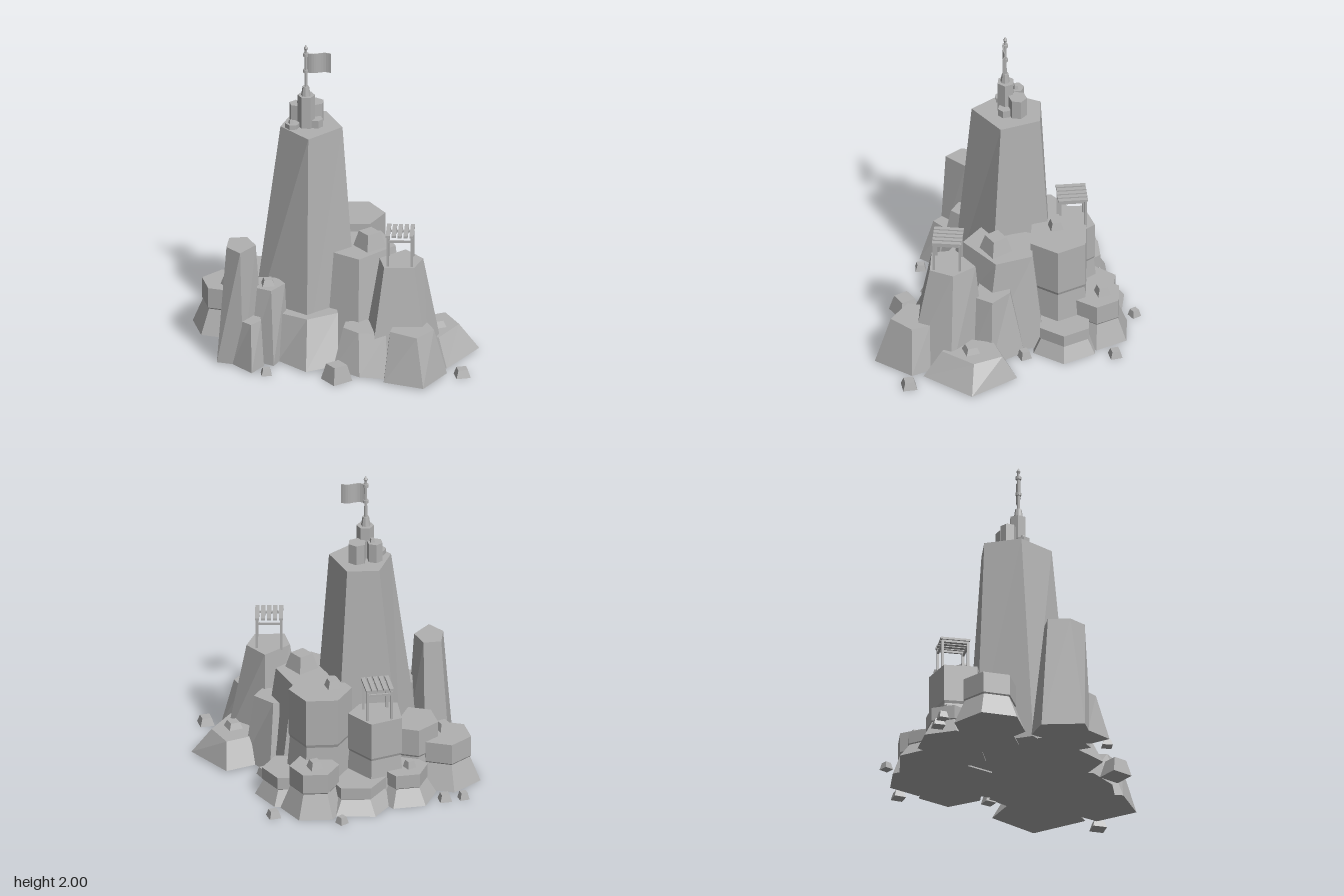
import * as THREE from 'three';

export function createModel() {
  const model = new THREE.Group();
  model.name = 'rockOutpost';
  const stone = new THREE.MeshStandardMaterial({ color: 0xb0b0b0, flatShading: true, side: THREE.DoubleSide });
  stone.name = 'grey stone';

  const add = (name, geometry, x = 0, y = 0, z = 0, parent = model) => {
    const mesh = new THREE.Mesh(geometry, stone);
    mesh.name = name;
    mesh.position.set(x, y, z);
    parent.add(mesh);
    return mesh;
  };

  // Closed faceted solid through layers of [height, [[x, z], ...]]
  function loft(layers) {
    const area = layers[0][1].reduce((s, p, i, a) => {
      const q = a[(i + 1) % a.length];
      return s + p[0] * q[1] - q[0] * p[1];
    }, 0);
    const rings = layers.map(([y, pts]) => {
      const r = pts.map(([x, z]) => [x, y, z]);
      return area < 0 ? r.reverse() : r;
    });
    const v = [];
    const tri = (a, b, c) => v.push(...a, ...b, ...c);
    const n = rings[0].length;
    for (let k = 0; k < rings.length - 1; k++) {
      const b = rings[k], t = rings[k + 1];
      for (let i = 0; i < n; i++) {
        const j = (i + 1) % n;
        tri(b[i], t[i], b[j]);
        tri(b[j], t[i], t[j]);
      }
    }
    const b = rings[0], t = rings[rings.length - 1];
    for (let i = 1; i < n - 1; i++) {
      tri(t[0], t[i + 1], t[i]);
      tri(b[0], b[i], b[i + 1]);
    }
    const g = new THREE.BufferGeometry();
    g.setAttribute('position', new THREE.Float32BufferAttribute(v, 3));
    g.computeVertexNormals();
    return g;
  }

  const ring = (n, cx, cz, r, deg) => Array.from({ length: n }, (_, i) => {
    const a = (deg + i * 360 / n) * Math.PI / 180;
    return [cx + r * Math.cos(a), cz + r * Math.sin(a)];
  });

  // Tapered crags: height, foot outline, top outline
  const crag = (name, h, foot, top) => add(name, loft([[0.01, foot], [h, top]]));
  crag('mainSpire', 1.45,
    [[-0.42, -0.21], [-0.01, -0.27], [0.14, 0.12], [-0.17, 0.39], [-0.54, 0.14]],
    [[-0.28, -0.16], [-0.08, -0.175], [0.035, 0.06], [-0.167, 0.26], [-0.35, 0.07]]);
  crag('shoulderCrag', 0.65,
    [[-0.02, -0.2], [0.33, -0.24], [0.45, 0.12], [0.15, 0.42], [-0.09, 0.27]],
    [[0.02, -0.13], [0.26, -0.16], [0.365, 0.06], [0.15, 0.285], [-0.04, 0.17]]);
  crag('lookoutCrag', 0.68,
    [[0.43, 0.12], [0.68, 0.31], [0.6, 0.58], [0.23, 0.59], [0.17, 0.32]],
    [[0.435, 0.18], [0.55, 0.31], [0.5, 0.46], [0.315, 0.465], [0.28, 0.32]]);
  crag('rightCrag', 0.17,
    [[0.67, -0.1], [0.89, 0.16], [0.705, 0.48], [0.44, 0.36], [0.47, 0]],
    [[0.67, -0.01], [0.765, 0.16], [0.65, 0.37], [0.5, 0.3], [0.53, 0.06]]);
  crag('frontRightCrag', 0.31,
    [[0.325, 0.71], [0.575, 0.795], [0.71, 0.55], [0.6, 0.38], [0.32, 0.42]],
    [[0.36, 0.61], [0.53, 0.7], [0.63, 0.56], [0.58, 0.45], [0.38, 0.46]]);
  crag('frontLowCrag', 0.26,
    [[0, 0.52], [0.17, 0.64], [0.345, 0.66], [0.45, 0.45], [0.2, 0.3], [0.02, 0.35]],
    [[0.06, 0.45], [0.16, 0.53], [0.33, 0.54], [0.38, 0.42], [0.2, 0.32], [0.07, 0.36]]);
  crag('frontCrag', 0.3,
    [[-0.345, 0.42], [-0.165, 0.58], [0.03, 0.47], [0.03, 0.25], [-0.17, 0.12], [-0.36, 0.2]],
    [[-0.34, 0.34], [-0.165, 0.43], [0.02, 0.32], [0, 0.2], [-0.17, 0.12], [-0.32, 0.18]]);
  crag('leftTallCrag', 0.755,
    [[-0.71, 0.19], [-0.56, 0.13], [-0.44, 0.3], [-0.56, 0.5], [-0.725, 0.46]],
    [[-0.66, 0.23], [-0.55, 0.21], [-0.49, 0.33], [-0.58, 0.46], [-0.67, 0.37]]);
  crag('leftLowCrag', 0.3,
    [[-0.63, 0.48], [-0.5, 0.615], [-0.43, 0.5], [-0.44, 0.36], [-0.6, 0.36]],
    [[-0.59, 0.46], [-0.51, 0.53], [-0.45, 0.46], [-0.46, 0.38], [-0.58, 0.38]]);
  crag('leftInnerCrag', 0.48,
    [[-0.51, 0.17], [-0.33, 0.18], [-0.29, 0.31], [-0.37, 0.5], [-0.52, 0.42]],
    [[-0.48, 0.2], [-0.36, 0.21], [-0.31, 0.29], [-0.39, 0.41], [-0.48, 0.37]]);
  crag('rightInnerCrag', 0.45,
    [[0.4, -0.12], [0.56, 0.07], [0.5, 0.21], [0.3, 0.2], [0.28, -0.06]],
    [[0.38, -0.03], [0.5, 0.07], [0.45, 0.18], [0.3, 0.17], [0.3, -0.02]]);

  // Straight-sided columns with a flared foot
  const column = (name, n, x, z, h, top, foot, deg) => add(name, loft([
    [0, ring(n, x, z, foot, deg)],
    [h * 0.53, ring(n, x, z, top * 0.96, deg)],
    [h * 0.56, ring(n, x, z, top, deg)],
    [h, ring(n, x, z, top, deg)]]));
  column('backTallColumn', 6, 0.085, -0.305, 0.7, 0.197, 0.22, -4);
  column('backLookoutColumn', 5, -0.265, -0.327, 0.55, 0.178, 0.2, -80);
  column('backRightLowColumn', 6, 0.27, -0.36, 0.18, 0.175, 0.22, -4);
  column('backRightColumn', 6, 0.12, -0.55, 0.29, 0.155, 0.21, -4);
  column('backLowColumn', 6, -0.14, -0.47, 0.17, 0.185, 0.245, 0);
  column('backLeftColumn', 6, -0.435, -0.38, 0.2, 0.15, 0.205, -72);
  column('leftColumn', 6, -0.685, -0.13, 0.3, 0.17, 0.23, 14);
  column('leftInnerColumn', 6, -0.48, -0.13, 0.4, 0.17, 0.19, 14);

  // Loose four-sided boulders: x, base y, z, width, height, turn in degrees
  [[0.205, 0.65, 0.075, 0.145, 0.1, 40], [0.63, 0.17, 0.19, 0.09, 0.04, 25],
    [-0.415, 0.48, 0.31, 0.075, 0.04, 10], [0.01, 0.7, -0.28, 0.08, 0.05, 20],
    [0.115, 0.29, -0.58, 0.08, 0.05, 25], [-0.47, 0.2, -0.39, 0.06, 0.045, 35],
    [-0.675, 0.3, -0.07, 0.08, 0.05, 30], [-0.055, 0, -0.765, 0.06, 0.045, 40],
    [0.37, 0, -0.685, 0.075, 0.045, 20], [-0.69, 0, -0.45, 0.075, 0.045, 15],
    [-0.805, 0, -0.425, 0.06, 0.045, 20], [-0.41, 0, 0.6, 0.065, 0.04, 8],
    [0.03, 0, 0.66, 0.14, 0.105, 38], [0.805, 0, 0.56, 0.09, 0.05, 15],
    [0.435, 0, -0.125, 0.07, 0.05, 30],
    [-0.235, 1.575, -0.01, 0.028, 0.025, 15], [-0.285, 1.48, 0.08, 0.025, 0.02, 30],
  ].forEach(([x, y, z, w, h, deg]) => {
    const g = new THREE.CylinderGeometry(w * 0.47, w * 0.707, h, 4);
    add('boulder', g, x, y + h / 2, z).rotation.y = (45 + deg) * Math.PI / 180;
  });

  // Cluster of small columns on the summit
  [[-0.19, 0.05, 0.055, 1.66], [-0.25, -0.01, 0.05, 1.575], [-0.14, -0.03, 0.058, 1.58],
    [-0.275, 0.08, 0.045, 1.48], [-0.13, 0.05, 0.045, 1.5],
  ].forEach(([x, z, r, top], i) => add('summitColumn',
    loft([[1.44, ring(6, x, z, r, i * 17)], [top, ring(6, x, z, r, i * 17)]])));

  // Flagpole with socket, collars and finial
  const px = -0.193, pz = 0.053;
  const disc = (name, y0, y1, r0, r1) =>
    add(name, new THREE.CylinderGeometry(r1, r0, y1 - y0, 8), px, (y0 + y1) / 2, pz);
  disc('poleSocket', 1.66, 1.72, 0.03, 0.02);
  disc('flagPole', 1.7, 1.975, 0.01, 0.008);
  disc('lowerCollar', 1.815, 1.835, 0.018, 0.018);
  disc('upperCollar', 1.925, 1.945, 0.018, 0.018);
  disc('finialBase', 1.965, 1.98, 0.008, 0.013);
  disc('finialTip', 1.98, 2, 0.013, 0.002);

  // Rippled flag
  const cloth = new THREE.BoxGeometry(0.15, 0.13, 0.006, 10, 1, 1);
  const p = cloth.attributes.position;
  for (let i = 0; i < p.count; i++) p.setZ(i, p.getZ(i) + 0.01 * Math.sin((p.getX(i) + 0.075) * 42));
  cloth.computeVertexNormals();
  add('flag', cloth, px + 0.08, 1.88, pz);

  // Slatted lookout platforms on four posts
  function lookout(x, y, z, deg) {
    const g = new THREE.Group();
    g.name = 'lookoutPlatform';
    g.position.set(x, y, z);
    g.rotation.y = deg * Math.PI / 180;
    model.add(g);
    const box = (name, w, h, d, bx, by, bz) => add(name, new THREE.BoxGeometry(w, h, d), bx, by, bz, g);
    for (const s of [-1, 1]) {
      for (const t of [-1, 1]) box('post', 0.015, 0.2, 0.015, s * 0.075, 0.09, t * 0.08);
      box('crossRail', 0.16, 0.014, 0.012, 0, 0.168, s * 0.08);
      box('sideRail', 0.012, 0.014, 0.17, s * 0.075, 0.187, 0);
    }
    for (let i = -2; i <= 2; i++) box('slat', 0.026, 0.014, 0.185, i * 0.037, 0.203, 0);
  }
  lookout(0.41, 0.68, 0.355, 0);
  lookout(-0.27, 0.555, -0.355, 11);

  return model;
}
